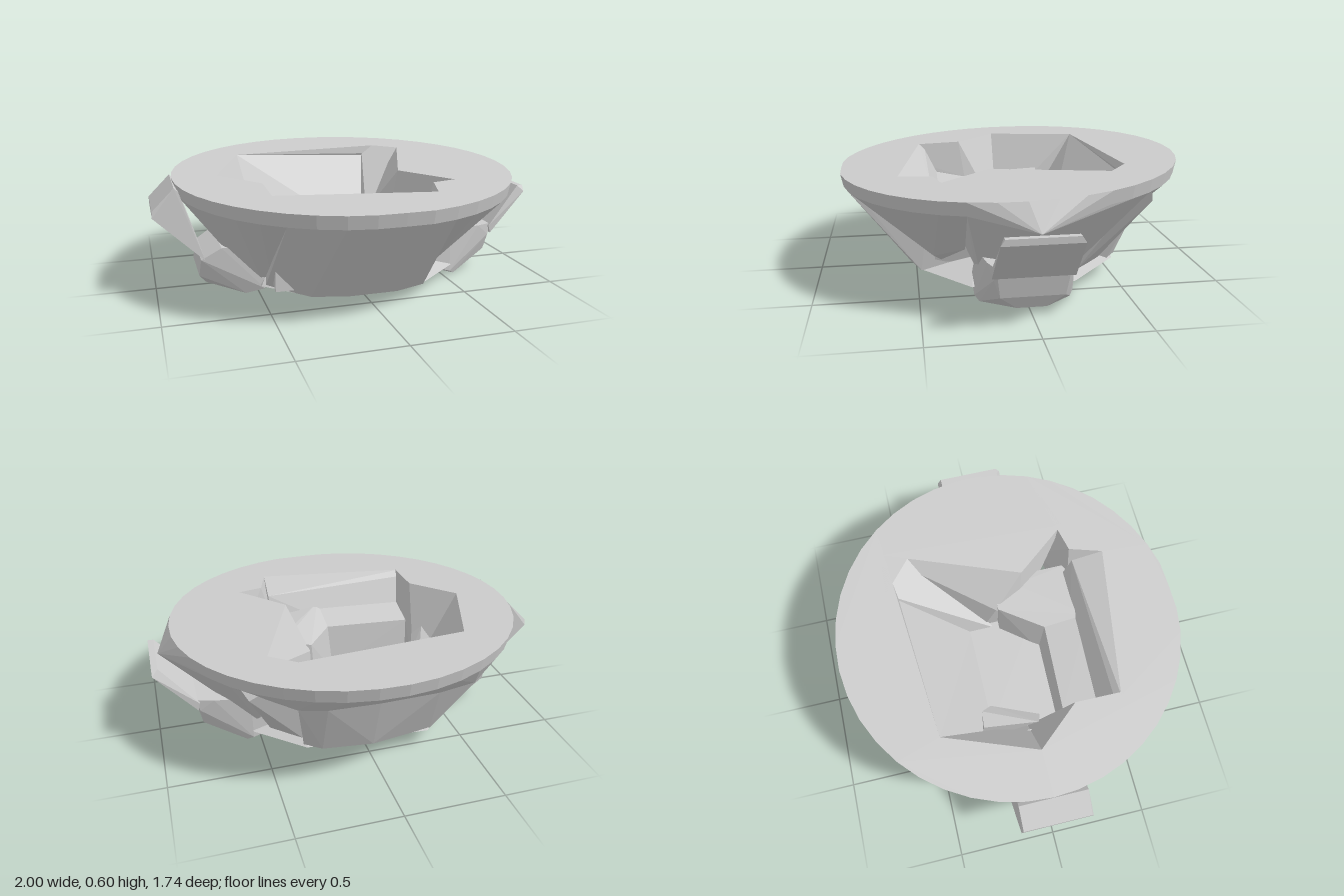
import * as THREE from 'three';
import { ConvexGeometry } from 'three/addons/geometries/ConvexGeometry.js';

const material = new THREE.MeshStandardMaterial({ color: 0xcccccc, flatShading: true });

// Height of the slightly tilted rim
const rimY = z => 0.575 - 0.034 * z;

const hull = pts => new ConvexGeometry(pts.map(p => new THREE.Vector3(...p)));
// Adds the z-mirrored copy of each point
const bothEnds = pts => pts.flatMap(([x, y, z]) => [[x, y, z], [x, y, -z]]);
// Points [x, z] lifted to the top of the rim
const onTop = pts => pts.map(([x, z]) => [x, rimY(z), z]);

// Upper and lower edge of the rim band between two angles in degrees, from +x towards +z
function rimArc(from, to) {
  const steps = Math.ceil((to - from) / 9), pts = [];
  for (let i = 0; i <= steps; i++) {
    const a = THREE.MathUtils.degToRad(from + (to - from) * i / steps);
    for (const [scale, drop] of [[1, 0], [0.985, 0.065]]) {
      const x = Math.cos(a) * 0.89 * scale;
      const z = Math.min(Math.sin(a) * 0.875, 0.865) * scale;
      pts.push([x, rimY(z) - drop, z]);
    }
  }
  return pts;
}

export function createModel() {
  const group = new THREE.Group();
  const add = (name, pts) => {
    const mesh = new THREE.Mesh(hull(pts), material);
    mesh.name = name;
    group.add(mesh);
  };

  // Floor slab with a shallow underside
  add('floor', [[-0.5, 0.06, -0.3], [-0.5, 0.06, 0.28], [0.54, 0.06, -0.25], [0.54, 0.06, 0.25], [-0.3, 0.09, -0.53],
    [0.32, 0.09, -0.5], [-0.3, 0.06, 0.48], [0.28, 0.06, 0.47], [-0.2, 0.035, 0], [0.2, 0.035, 0],
    [-0.44, 0.15, -0.22], [0.22, 0.15, -0.22], [0.22, 0.15, 0.2], [-0.44, 0.15, 0.2]]);

  // Front wall, with a slightly sunken ledge on its inner edge
  add('frontWall', [...rimArc(71, 122), ...onTop([[-0.49, 0.45], [0.3, 0.58]]),
    [-0.48, 0.53, 0.42], [0.31, 0.5, 0.42], [-0.44, 0.12, 0.22], [0.28, 0.06, 0.25],
    [0.28, 0.06, 0.48], [0.12, 0.06, 0.535], [-0.12, 0.06, 0.535], [-0.3, 0.06, 0.49], [-0.48, 0.06, 0.28]]);

  // Front left corner, hanging clear of the base
  add('frontLeftCorner', [...rimArc(20, 71), ...onTop([[0.5, 0.41], [0.35, 0.41], [0.3, 0.58]]),
    [0.3, 0.12, 0.38], [0.38, 0.17, 0.42], [0.53, 0.25, 0.28], [0.28, 0.3, 0.4]]);

  // Left wall, its rim bulging to a point above the handle
  add('leftWall', [...rimArc(-40, 20), ...onTop([[0.53, -0.57], [0.52, -0.4], [0.27, 0.13], [0.5, 0.41]]),
    [0.96, 0.45, 0], [0.68, 0.26, 0.15], [0.68, 0.26, -0.15], [0.55, 0.2, 0.24], [0.55, 0.2, -0.24],
    [0.5, 0.08, 0.2], [0.5, 0.08, -0.2], [0.18, 0.36, -0.03], [0.2, 0.12, 0.1], [0.2, 0.12, -0.1]]);

  // Back left corner, a buttress narrowing up to the rim
  add('backLeftCorner', [...onTop([[0.3, -0.58], [0.52, -0.4], [0.53, -0.57], [0.67, -0.56]]),
    [0.6, 0.47, -0.6], [0.46, 0.09, -0.28], [0.32, 0.09, -0.42], [0.17, 0.14, -0.18], [0.17, 0.14, -0.05]]);

  // Overhanging back rim and the wall below it
  const backInner = onTop([[-0.49, -0.46], [0.3, -0.58]]);
  const backStep = [[-0.5, 0.38, -0.6], [-0.3, 0.38, -0.64], [0, 0.38, -0.65], [0.25, 0.38, -0.64], [0.38, 0.38, -0.6]];
  add('backRim', [...rimArc(231, 320), ...backInner, ...onTop([[0.53, -0.57]]), ...backStep]);
  add('backWall', [...backInner, ...backStep, [-0.43, 0.14, -0.18], [0.17, 0.14, -0.18],
    [-0.47, 0.09, -0.36], [-0.32, 0.09, -0.51], [0, 0.09, -0.56], [0.25, 0.09, -0.53], [0.33, 0.09, -0.47]]);

  // Right wall in two pieces that meet at a notch
  add('rightWallBack', [...rimArc(180, 231), ...onTop([[-0.49, -0.67], [-0.49, -0.46], [-0.66, 0]]),
    [-0.43, 0.14, -0.18], [-0.43, 0.14, 0], [-0.68, 0.26, -0.15], [-0.68, 0.26, 0], [-0.52, 0.08, 0],
    [-0.52, 0.08, -0.25], [-0.46, 0.09, -0.36]]);
  add('rightWallFront', [...rimArc(122, 180), ...onTop([[-0.49, 0.45], [-0.47, 0.22], [-0.66, 0]]),
    [-0.44, 0.36, 0.19], [-0.43, 0.14, 0], [-0.68, 0.26, 0.15], [-0.68, 0.26, 0], [-0.52, 0.08, 0],
    [-0.5, 0.1, 0.26], [-0.46, 0.12, 0.32]]);

  // Raised bench along the front and left of the well
  add('frontBench', [[-0.46, 0.41, 0.43], [0.02, 0.42, 0.43], [0.02, 0.37, 0.2], [-0.18, 0.35, 0.2], [-0.44, 0.36, 0.18],
    [-0.46, 0.08, 0.43], [0.02, 0.08, 0.43], [0, 0.1, 0.17], [-0.18, 0.1, 0.18], [-0.44, 0.1, 0.16]]);
  add('sideBench', [[0.02, 0.42, 0.43], [0.35, 0.38, 0.41], [0.28, 0.42, 0.1], [0.33, 0.42, -0.02], [0.17, 0.39, -0.02],
    [0.02, 0.37, 0.2], [0.02, 0.08, 0.43], [0.28, 0.1, 0.41], [0.3, 0.1, 0], [0.15, 0.1, -0.02], [0, 0.1, 0.17]]);

  // Small lump on the right wall of the well
  add('wellLump', [[-0.45, 0.14, -0.25], [-0.35, 0.14, -0.2], [-0.42, 0.14, 0.06], [-0.45, 0.4, -0.24],
    [-0.36, 0.38, -0.23], [-0.33, 0.34, -0.18], [-0.48, 0.38, 0.04], [-0.43, 0.33, 0.06]]);

  // Side lugs that carry the model, tapering to a narrow outer foot
  add('leftLug', bothEnds([[0.54, 0.25, 0.23], [0.72, 0.25, 0.2], [0.81, 0.25, 0.17], [0.79, 0.19, 0.18],
    [0.78, 0.1, 0.15], [0.75, 0.035, 0.07], [0.57, 0, 0.22], [0.54, 0.02, 0.24], [0.4, 0.06, 0.24]]));
  add('rightLug', bothEnds([[-0.48, 0.25, 0.24], [-0.68, 0.25, 0.2], [-0.78, 0.19, 0.18], [-0.79, 0.1, 0.15],
    [-0.75, 0.035, 0.07], [-0.57, 0.01, 0.22], [-0.48, 0.04, 0.26]]));

  // Flared handles: a thin plate on the left, a wedge on the right
  add('leftHandle', bothEnds([[1, 0.45, 0.16], [0.97, 0.45, 0.16], [0.79, 0.24, 0.19], [0.8, 0.2, 0.19],
    [1, 0.42, 0.18]]));
  add('rightHandle', bothEnds([[-1, 0.45, 0.17], [-0.98, 0.47, 0.17], [-0.89, 0.56, 0.17], [-0.87, 0.54, 0.17],
    [-0.76, 0.19, 0.19], [-1, 0.42, 0.18]]));

  return group;
}
